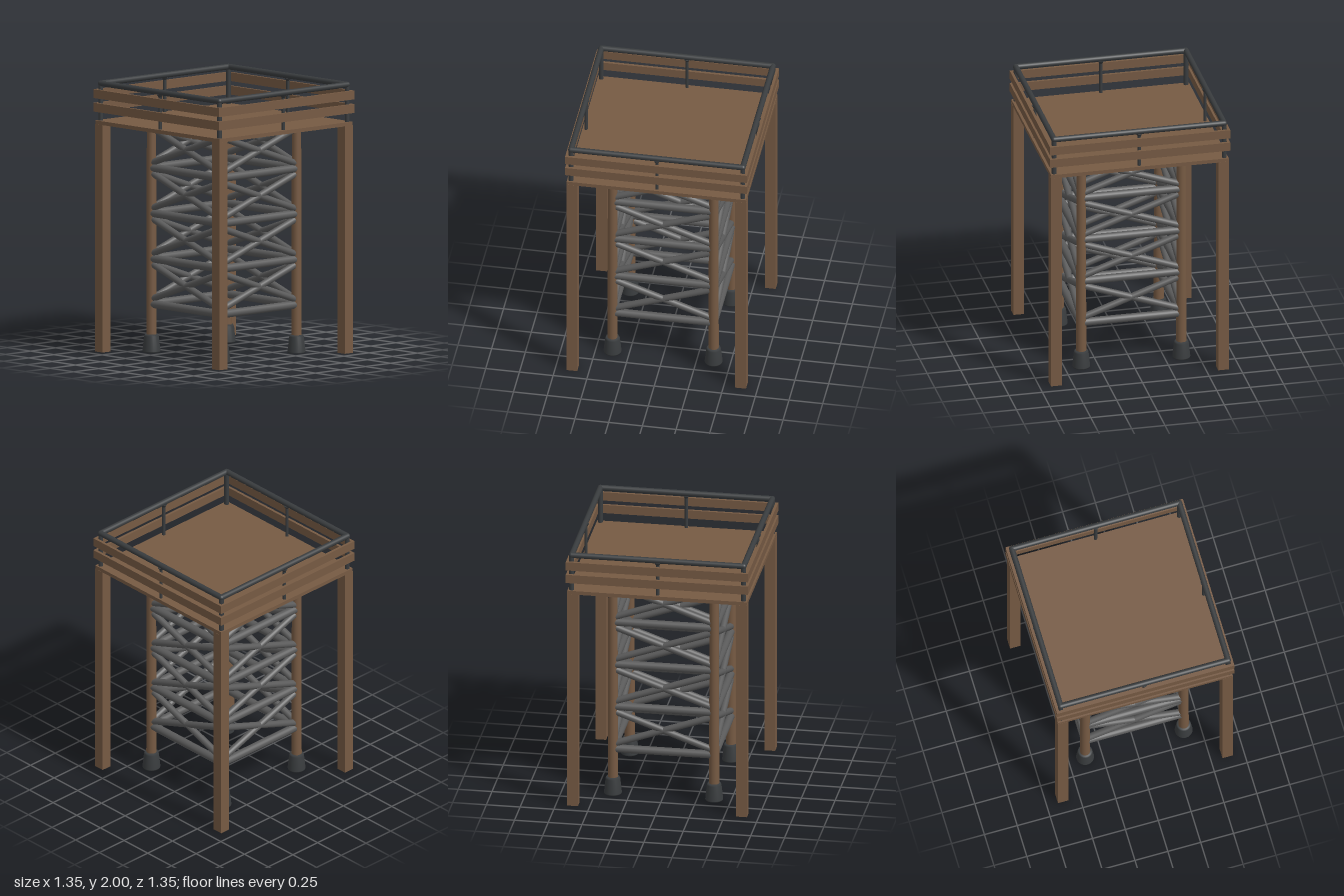
import * as THREE from 'three';

const wood = new THREE.MeshStandardMaterial({ color: 0x765a43 });
const steel = new THREE.MeshStandardMaterial({ color: 0x5a5a5a });
const dark = new THREE.MeshStandardMaterial({ color: 0x393c3e });

export function createModel() {
  const model = new THREE.Group();
  model.name = 'observationTower';

  const add = (parent, name, geometry, material, x = 0, y = 0, z = 0) => {
    const mesh = new THREE.Mesh(geometry, material);
    mesh.name = name;
    mesh.position.set(x, y, z);
    parent.add(mesh);
    return mesh;
  };

  // Round bar between two points
  const bar = (parent, name, a, b, radius, material) => {
    const from = new THREE.Vector3(...a), to = new THREE.Vector3(...b);
    const dir = to.clone().sub(from);
    const mesh = add(parent, name, new THREE.CylinderGeometry(radius, radius, dir.length(), 20), material);
    mesh.position.copy(from).add(to).multiplyScalar(0.5);
    mesh.quaternion.setFromUnitVectors(new THREE.Vector3(0, 1, 0), dir.normalize());
  };

  const LEG = 0.375, RAIL = 0.637, RAIL_Y = 1.979;

  // Deck
  add(model, 'deck', new THREE.BoxGeometry(1.33, 0.028, 1.33), wood, 0, 1.692, 0);

  // Rubber boot with rounded shoulder
  const bootProfile = [[0, 0], [0.064, 0], [0.066, 0.008], [0.054, 0.118], [0.047, 0.132], [0, 0.132]]
    .map(([r, y]) => new THREE.Vector2(r, y));

  // Parts repeated at the four corners
  for (const sx of [-1, 1]) for (const sz of [-1, 1]) {
    add(model, 'cornerPost', new THREE.BoxGeometry(0.08, 1.68, 0.08), wood, sx * 0.626, 0.84, sz * 0.626);
    add(model, 'towerLeg', new THREE.CylinderGeometry(0.034, 0.038, 1.58, 24), wood, sx * LEG, 0.89, sz * LEG);
    add(model, 'legBoot', new THREE.LatheGeometry(bootProfile, 24), dark, sx * LEG, 0, sz * LEG);
    bar(model, 'railPost', [sx * RAIL, 1.7, sz * RAIL], [sx * RAIL, RAIL_Y, sz * RAIL], 0.018, dark);
    add(model, 'railCorner', new THREE.SphereGeometry(0.021, 20, 14), dark, sx * RAIL, RAIL_Y, sz * RAIL);
  }

  // Parts repeated on the four sides
  for (let i = 0; i < 4; i++) {
    const side = new THREE.Group();
    side.name = 'side';
    side.rotation.y = i * Math.PI / 2;
    model.add(side);

    // Cross bracing in four stacked bays
    for (let k = 0; k < 4; k++) {
      const y = 0.355 + k * 0.335, mid = y + 0.167;
      bar(side, 'horizontalBrace', [-LEG, y, LEG], [LEG, y, LEG], 0.03, steel);
      for (const s of [-1, 1]) {
        bar(side, 'diagonalBrace', [-LEG, mid - s * 0.132, LEG], [LEG, mid + s * 0.132, LEG], 0.025, steel);
      }
    }

    // Guard rail, slats and middle post
    bar(side, 'topRail', [-RAIL, RAIL_Y, RAIL], [RAIL, RAIL_Y, RAIL], 0.021, dark);
    for (const y of [1.803, 1.903]) {
      add(side, 'guardSlat', new THREE.BoxGeometry(1.35, 0.065, 0.02), wood, 0, y, 0.665);
    }
    bar(side, 'middlePost', [0, 1.7, RAIL], [0, RAIL_Y, RAIL], 0.012, dark);
    add(side, 'postCollar', new THREE.CylinderGeometry(0.024, 0.012, 0.02, 16), dark, 0, 1.952, RAIL);
  }
  return model;
}
